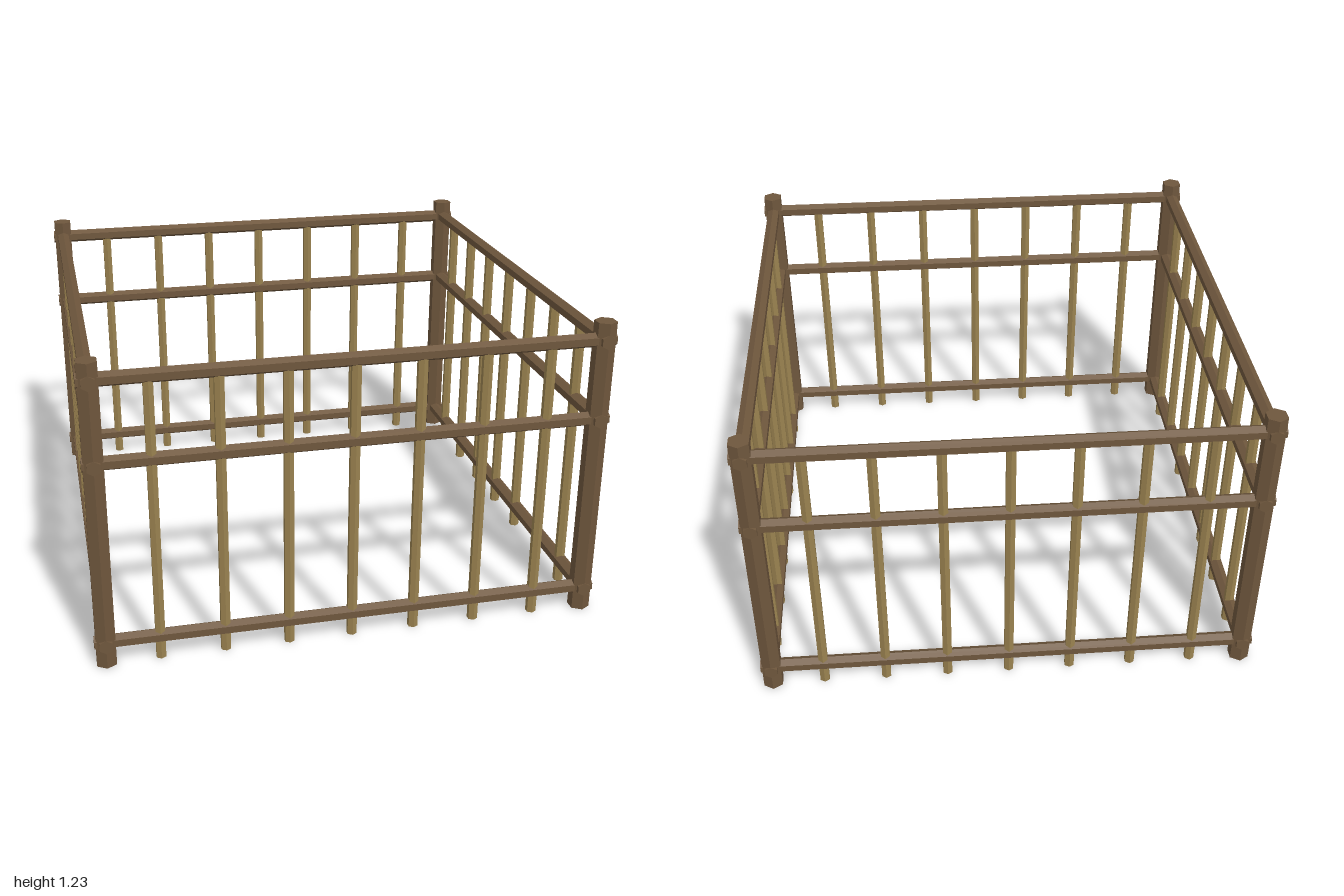
import * as THREE from 'three';

export function createModel() {
  const root = new THREE.Group();
  root.name = 'fencedPen';

  const wood = new THREE.MeshStandardMaterial({ color: 0x6f573d, flatShading: true });
  wood.name = 'dark brown wood';
  const cane = new THREE.MeshStandardMaterial({ color: 0x9a8250, flatShading: true });
  cane.name = 'tan cane';

  const OFFSET = 0.957; // distance of each fence side from the centre
  const pole = (radius, length) => new THREE.CylinderGeometry(radius, radius, length, 6);

  const add = (name, geometry, material, x, y, z) => {
    const mesh = new THREE.Mesh(geometry, material);
    mesh.name = name;
    mesh.position.set(x, y, z);
    root.add(mesh);
  };

  // Six-sided corner posts
  const postGeo = pole(0.043, 1.225).translate(0, 0.6125, 0);
  for (const x of [-OFFSET, OFFSET])
    for (const z of [-OFFSET, OFFSET]) add('cornerPost', postGeo, wood, x, 0, z);

  // Horizontal rails, ridge upwards, ends just poking through the posts
  const sideRailGeo = pole(0.0285, 2).rotateX(Math.PI / 2);
  const crossRailGeo = sideRailGeo.clone().rotateY(Math.PI / 2);
  for (const y of [0.093, 0.832, 1.152])
    for (const s of [-1, 1]) {
      add('crossRail', crossRailGeo, wood, 0, y, s * OFFSET);
      add('sideRail', sideRailGeo, wood, s * OFFSET, y, 0);
    }

  // Thin upright bars from the ground into the top rail
  const barGeo = pole(0.021, 1.15).translate(0, 0.575, 0);
  for (let i = -3; i <= 3; i++)
    for (const s of [-1, 1]) {
      add('crossBar', barGeo, cane, i * 0.25, 0, s * OFFSET);
      add('sideBar', barGeo, cane, s * OFFSET, 0, i * 0.25);
    }

  return root;
}
